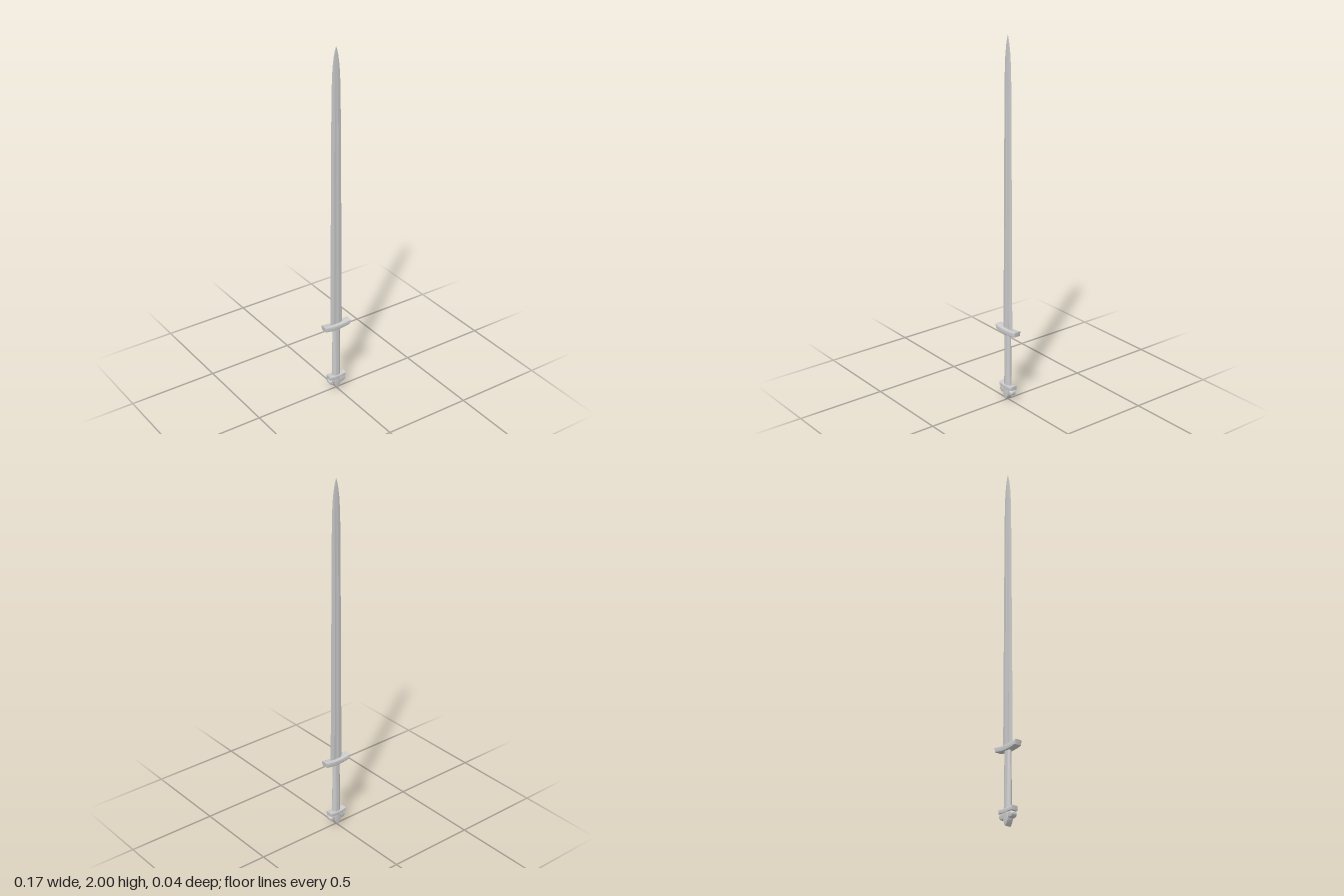
import * as THREE from 'three';
import { toCreasedNormals } from 'three/addons/utils/BufferGeometryUtils.js';

const material = new THREE.MeshStandardMaterial({ color: 0xcccccc });

function addMesh(group, geometry, name, crease = 0.6) {
  const mesh = new THREE.Mesh(toCreasedNormals(geometry, crease), material);
  mesh.name = name;
  group.add(mesh);
  return mesh;
}

// Skin a stack of closed rings; each ring is { y, points: [[x, z], ...] }
function loft(rings) {
  const n = rings[0].points.length;
  const positions = [], index = [];
  for (const { y, points } of rings) {
    for (const [x, z] of points) positions.push(x, y, z);
  }
  for (let i = 0; i < rings.length - 1; i++) {
    for (let j = 0; j < n; j++) {
      const a = i * n + j, b = i * n + (j + 1) % n;
      index.push(a, a + n, b, b, a + n, b + n);
    }
  }
  const geometry = new THREE.BufferGeometry();
  geometry.setAttribute('position', new THREE.Float32BufferAttribute(positions, 3));
  geometry.setIndex(index);
  return geometry;
}

// Blade section: sharp edges, two ridges and a shallow hollow between them
function bladeRing(y, w, t, hollow) {
  const side = [[1, 0], [0.7, 0.5], [0.36, 1], [0.18, 1 - hollow * 0.75], [0, 1 - hollow],
    [-0.18, 1 - hollow * 0.75], [-0.36, 1], [-0.7, 0.5]];
  const front = side.map(([x, z]) => [x * w, z * t]);
  const back = front.map(([x, z]) => [-x, -z]);
  return { y, points: [...front, ...back] };
}

function ellipseRing(y, rx, rz, n = 24) {
  const points = [];
  for (let i = 0; i < n; i++) {
    const a = i / n * Math.PI * 2;
    points.push([Math.cos(a) * rx, Math.sin(a) * rz]);
  }
  return { y, points };
}

// Bevelled slab centred on z = 0; the outline is drawn at full size
function slab(shape, depth, bevel) {
  const geometry = new THREE.ExtrudeGeometry(shape, {
    depth: depth - 2 * bevel, bevelEnabled: true, bevelThickness: bevel,
    bevelSize: bevel, bevelOffset: -bevel, bevelSegments: 3, curveSegments: 12,
  });
  return geometry.translate(0, 0, bevel - depth / 2);
}

// Bar whose upper and lower edges sag towards the middle
function barShape(halfTop, halfBottom, endTop, endBottom, midTop, midBottom) {
  const s = new THREE.Shape();
  s.moveTo(-halfBottom, endBottom);
  s.quadraticCurveTo(0, 2 * midBottom - endBottom, halfBottom, endBottom);
  s.lineTo(halfTop, endTop);
  s.quadraticCurveTo(0, 2 * midTop - endTop, -halfTop, endTop);
  s.closePath();
  return s;
}

export function createModel() {
  const group = new THREE.Group();
  group.name = 'sword';

  // Blade: y, half width, half thickness, depth of the hollow
  const bladeStations = [
    [0.40, 0.038, 0.005, 0.5], [0.80, 0.035, 0.005, 0.5], [1.20, 0.032, 0.0045, 0.5],
    [1.60, 0.029, 0.004, 0.45], [1.76, 0.027, 0.004, 0.2], [1.84, 0.0245, 0.0036, 0],
    [1.90, 0.0205, 0.0032, 0], [1.95, 0.0135, 0.0025, 0], [1.98, 0.007, 0.0015, 0],
    [2.0, 0.0004, 0.0003, 0],
  ];
  addMesh(group, loft(bladeStations.map(s => bladeRing(...s))), 'blade', 0.3);

  // Crossguard, curving up towards the blade
  addMesh(group, slab(barShape(0.083, 0.079, 0.425, 0.398, 0.417, 0.388), 0.042, 0.004), 'crossguard');

  // Oval grip, slightly thicker towards the pommel
  addMesh(group, loft([
    ellipseRing(0.08, 0.025, 0.017), ellipseRing(0.18, 0.0245, 0.0155),
    ellipseRing(0.30, 0.0235, 0.014), ellipseRing(0.40, 0.0225, 0.0125),
  ]), 'grip');

  // Upper bar of the pommel
  addMesh(group, slab(barShape(0.053, 0.051, 0.093, 0.07, 0.089, 0.066), 0.04, 0.004), 'pommelBar');

  // Middle lobe, drawn down to a point
  const middle = new THREE.Shape();
  middle.moveTo(-0.019, 0.072);
  middle.bezierCurveTo(-0.025, 0.04, -0.016, 0.018, 0, 0);
  middle.bezierCurveTo(0.016, 0.018, 0.025, 0.04, 0.019, 0.072);
  middle.closePath();
  addMesh(group, slab(middle, 0.038, 0.005), 'pommelMiddleLobe');

  // Rounded lobes either side, mirrored
  for (const side of [1, -1]) {
    const lobe = new THREE.Shape();
    lobe.absellipse(side * 0.032, 0.053, 0.019, 0.018, 0, Math.PI * 2);
    addMesh(group, slab(lobe, 0.034, 0.006), side > 0 ? 'pommelLeftLobe' : 'pommelRightLobe');
  }

  return group;
}
